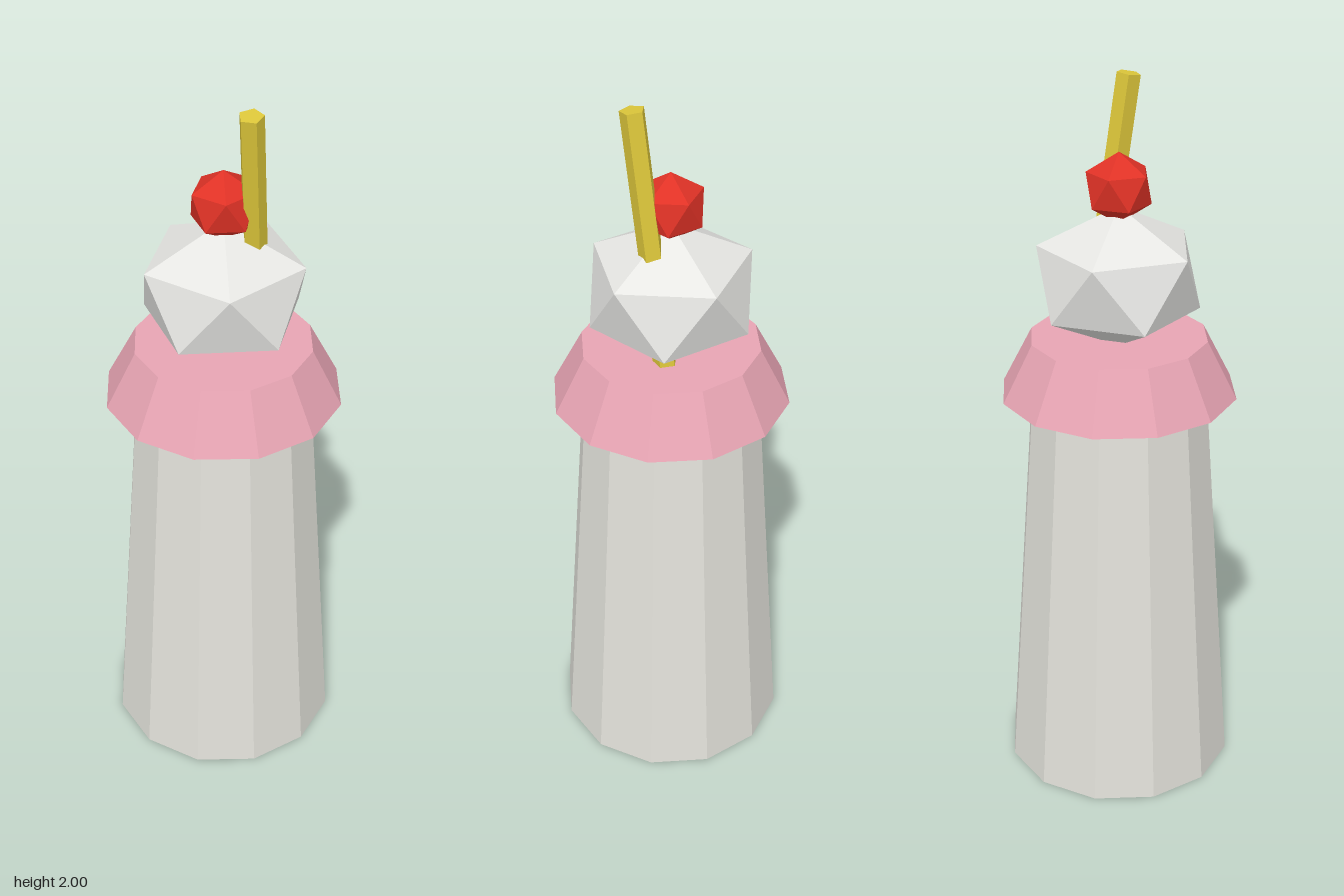
import * as THREE from 'three';

const paint = (name, color) => {
  const m = new THREE.MeshStandardMaterial({ color, flatShading: true });
  m.name = name;
  return m;
};

export function createModel() {
  const group = new THREE.Group();
  const cupGrey = paint('cup grey', 0xe2e1da);
  const creamWhite = paint('cream white', 0xe6e6e3);
  const pink = paint('pink', 0xe8a5b4);
  const red = paint('cherry red', 0xe03226);
  const yellow = paint('straw yellow', 0xdcc63a);

  const add = (name, geometry, material, x, y, z) => {
    const mesh = new THREE.Mesh(geometry, material);
    mesh.name = name;
    mesh.position.set(x, y, z);
    group.add(mesh);
    return mesh;
  };

  // Icosahedron standing on a corner, with an upper ring corner towards +x
  const ball = (radius, height) =>
    new THREE.IcosahedronGeometry(1, 0)
      .rotateZ(-Math.atan2(2, 1 + Math.sqrt(5)))
      .scale(radius, height, radius);

  // Twelve-sided cup, wider at the foot
  add('cup', new THREE.CylinderGeometry(0.245, 0.326, 1.15, 12), cupGrey, 0, 0.575, 0);

  // Flared rim collar
  add('collar', new THREE.CylinderGeometry(0.244, 0.326, 0.16, 12), pink, 0, 1.226, 0);

  // Whipped cream and cherry
  add('cream', ball(0.244, 0.196), creamWhite, 0, 1.472, 0);
  add('cherry', ball(0.096, 0.096), red, 0, 1.717, 0);

  // Five-sided straw leaning forward, its foot hidden in the collar
  const lean = 0.148, length = 0.82;
  const straw = new THREE.CylinderGeometry(0.033, 0.033, length, 5)
    .rotateY(Math.PI)
    .translate(0, -length / 2, 0)
    .rotateX(lean);
  add('straw', straw, yellow, 0.081, 1.995, 0.053);

  return group;
}
